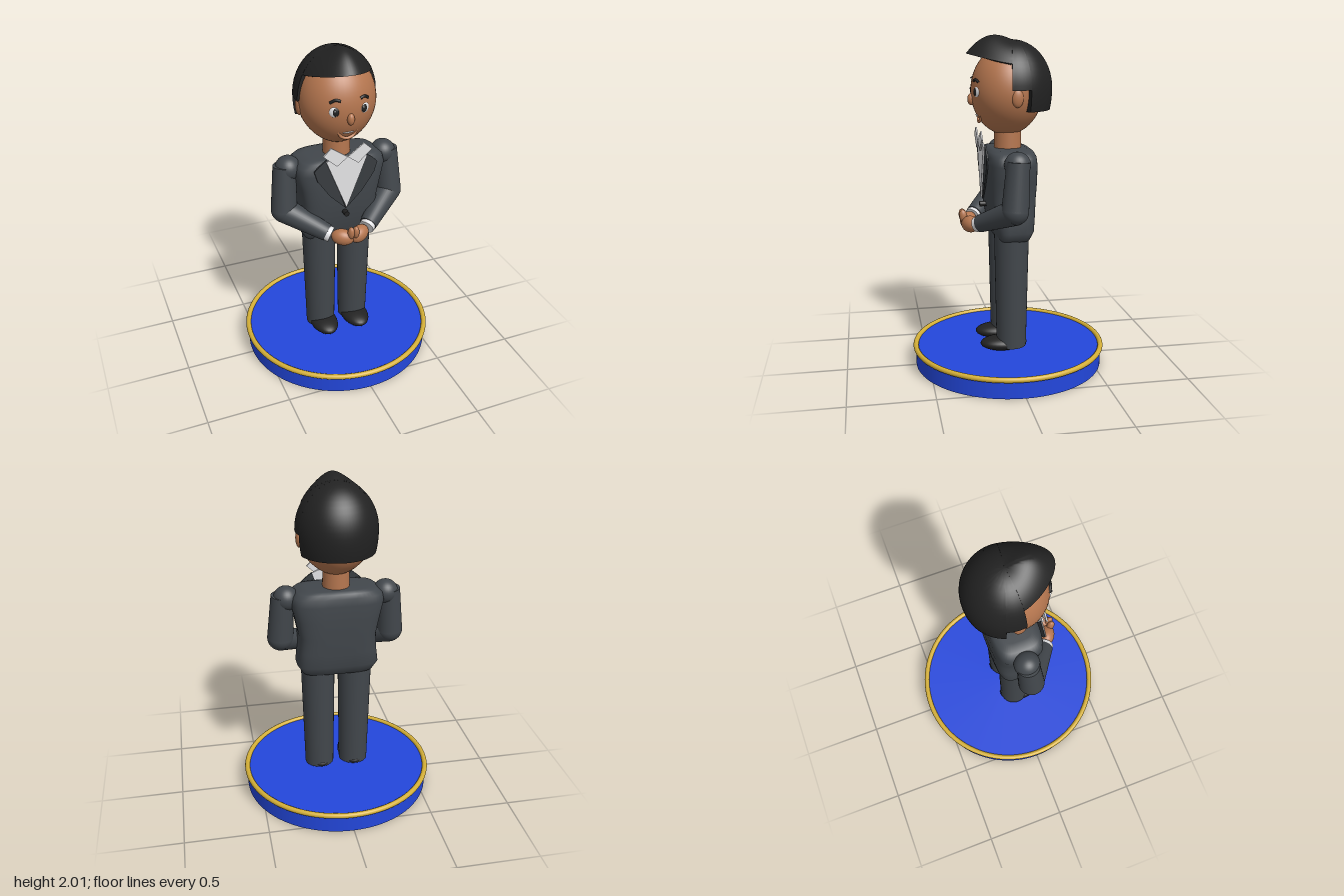
import * as THREE from 'three';
import { toCreasedNormals } from 'three/addons/utils/BufferGeometryUtils.js';

const mat = (name, color) => {
  const m = new THREE.MeshStandardMaterial({ color });
  m.name = name;
  return m;
};
const V = (x, y, z) => new THREE.Vector3(x, y, z);

// Closed-loop skin through rows of points
function skin(rows, crease) {
  const n = rows[0].length, index = [];
  for (let j = 0; j < rows.length - 1; j++) {
    for (let i = 0; i < n; i++) {
      const k = (i + 1) % n;
      const a = j * n + i, b = j * n + k, c = b + n, d = a + n;
      index.push(a, d, b, b, d, c);
    }
  }
  const g = new THREE.BufferGeometry().setFromPoints(rows.flat());
  g.setIndex(index);
  g.computeVertexNormals();
  return crease ? toCreasedNormals(g, crease) : g;
}

// Jacket body: rounded-rectangle sections [y, halfWidth, halfDepth, zCentre]
function torsoGeometry() {
  const sections = [
    [0.8, 0, 0, -0.01], [0.8, 0.17, 0.07, -0.01], [0.815, 0.215, 0.1, -0.01], [0.87, 0.248, 0.122, -0.01],
    [0.96, 0.237, 0.135, -0.005], [1.06, 0.233, 0.145, 0], [1.17, 0.255, 0.15, 0], [1.27, 0.278, 0.148, 0],
    [1.315, 0.268, 0.143, 0], [1.34, 0.235, 0.13, 0], [1.35, 0.18, 0.1, 0], [1.35, 0, 0, 0],
  ];
  const pw = (v) => Math.sign(v) * Math.abs(v) ** 0.5;
  return skin(sections.map(([y, w, d, z]) => Array.from({ length: 48 }, (_, i) => {
    const a = (i / 48) * Math.PI * 2;
    return V(w * pw(Math.cos(a)), y, z + d * pw(Math.sin(a)));
  })));
}

// Hair cap with stepped sides, long back and a swept-forward front
function hairGeometry() {
  const a1 = Math.acos(0.146), a2 = Math.acos(-0.3125);
  const cols = [];
  const span = (from, to, n, limit) => {
    for (let i = 0; i <= n; i++) {
      const a = from + ((to - from) * i) / n;
      cols.push([a, limit(a)]);
    }
  };
  const fringe = (a) => 1.845 + 0.055 * Math.max(0, Math.cos(a)) ** 1.5;
  span(-a1, a1, 28, fringe);
  span(a1, a2, 6, () => 1.7);
  span(a2, Math.PI * 2 - a2, 28, () => 1.575);
  span(Math.PI * 2 - a2, Math.PI * 2 - a1, 6, () => 1.7);
  const rows = [], steps = 16;
  for (let j = 0; j <= steps; j++) {
    const t = j / steps;
    rows.push(cols.map(([a, limit]) => {
      const phi = t * Math.acos((limit - 1.7) / 0.28);
      const s = phi > Math.PI / 2 ? Math.sqrt(Math.sin(phi)) : Math.sin(phi);
      const w = Math.max(0, Math.cos(a)) ** 2;
      return V(0.24 * s * Math.sin(a),
        1.7 + 0.28 * Math.cos(phi) + 0.04 * w * Math.sin(Math.PI * t),
        -0.02 + 0.24 * s * Math.cos(a) + 0.1 * w * t);
    }));
  }
  // rim tucked into the head
  rows.push(rows[steps].map((p) => V(p.x * 0.78, p.y - (p.z > 0.03 ? 0.02 : 0), p.z > 0 ? p.z * 0.6 : p.z * 0.75)));
  return skin(rows, 0.7);
}

export function createModel() {
  const suit = mat('suit charcoal', 0x42474c);
  const lapelGrey = mat('lapel charcoal', 0x383c40);
  const black = mat('black', 0x222222);
  const white = mat('shirt white', 0xe4e4e6);
  const skinTone = mat('skin', 0xb5764f);
  const lip = mat('lip', 0xc08058);
  const blue = mat('base blue', 0x2347dc);
  const gold = mat('gold', 0xd4af37);

  const model = new THREE.Group();
  model.name = 'standingFigure';
  const add = (name, geometry, material, pos = [0, 0, 0]) => {
    const m = new THREE.Mesh(geometry, material);
    m.name = name;
    m.position.set(...pos);
    model.add(m);
    return m;
  };
  const ball = (name, material, pos, r, rot = [0, 0, 0]) => {
    const m = add(name, new THREE.SphereGeometry(1, 32, 20), material, pos);
    m.scale.set(...r);
    m.rotation.set(...rot);
    return m;
  };
  const limb = (name, material, a, b, ra, rb) => {
    const dir = b.clone().sub(a);
    const m = add(name, new THREE.CylinderGeometry(rb, ra, dir.length(), 32), material);
    m.position.copy(a).add(b).multiplyScalar(0.5);
    m.quaternion.setFromUnitVectors(V(0, 1, 0), dir.normalize());
    return m;
  };
  const plate = (name, material, pts, z) => {
    const shape = new THREE.Shape(pts.map(([x, y]) => new THREE.Vector2(x, y)));
    return add(name, new THREE.ExtrudeGeometry(shape, { depth: 0.009, bevelEnabled: false }), material, [0, 0, z]);
  };

  // Round base with gold rim
  add('base', new THREE.CylinderGeometry(0.577, 0.577, 0.115, 96), blue, [0, 0.0575, 0]);
  add('baseRim', new THREE.TorusGeometry(0.577, 0.016, 16, 96).rotateX(Math.PI / 2), gold, [0, 0.115, 0]);

  // Body and neck
  add('jacket', torsoGeometry(), suit);
  add('neck', new THREE.CylinderGeometry(0.078, 0.082, 0.2, 32), skinTone, [0, 1.4, 0.003]);

  // Shirt front and button
  plate('shirtFront', white, [[0, 1.05], [0.125, 1.37], [0.08, 1.39], [-0.08, 1.39], [-0.125, 1.37]], 0.16);
  add('button', new THREE.CylinderGeometry(0.016, 0.016, 0.04, 20).rotateX(Math.PI / 2), black, [0, 1.008, 0.155]);

  for (const s of [1, -1]) {
    const side = s > 0 ? 'left' : 'right';
    const P = (x, y, z) => V(s * x, y, z);

    // Leg and shoe
    limb(side + 'Leg', suit, P(0.11, 0.14, 0), P(0.115, 0.86, 0), 0.09, 0.104);
    ball(side + 'Shoe', black, [s * 0.107, 0.155, 0.047], [0.085, 0.045, 0.143]);

    // Sleeve, cuff and hand
    ball(side + 'Shoulder', suit, [s * 0.3, 1.29, 0], [0.075, 0.075, 0.076]);
    limb(side + 'UpperArm', suit, P(0.322, 1.31, 0), P(0.337, 1.03, 0.02), 0.066, 0.079);
    ball(side + 'Elbow', suit, [s * 0.337, 1.03, 0.02], [0.079, 0.079, 0.079]);
    limb(side + 'Forearm', suit, P(0.337, 1.025, 0.02), P(0.13, 0.918, 0.19), 0.076, 0.052);
    limb(side + 'Cuff', white, P(0.14, 0.922, 0.184), P(0.112, 0.909, 0.206), 0.047, 0.047);
    ball(side + 'Hand', skinTone, [s * 0.053, 0.898, 0.238], [0.068, 0.05, 0.046], [0, s * 0.5, s * 0.15]);
    ball(side + 'Thumb', skinTone, [s * 0.015, 0.938, 0.276], [0.02, 0.042, 0.024], [0.15, 0, 0]);

    // Lapel and collar wing
    plate(side + 'Lapel', lapelGrey,
      [[0, 1.04], [0.12, 1.38], [0.165, 1.345], [0.195, 1.315], [0.175, 1.25], [0.1, 1.14]].map(([x, y]) => [s * x, y]), 0.15);
    plate(side + 'Collar', white,
      [[0, 1.39], [0.065, 1.34], [0.148, 1.415], [0.1, 1.46]].map(([x, y]) => [s * x, y]), 0.173);

    // Ear, eye and brow
    ball(side + 'Ear', skinTone, [s * 0.217, 1.656, -0.016], [0.02, 0.053, 0.034]);
    ball(side + 'Eye', white, [s * 0.09, 1.685, 0.197], [0.029, 0.031, 0.012], [0, s * 0.4, 0]);
    ball(side + 'Pupil', black, [s * 0.085, 1.685, 0.206], [0.019, 0.024, 0.008], [0, s * 0.4, 0]);
    ball(side + 'EyeGlint', white, [s * 0.085 - 0.006, 1.694, 0.213], [0.005, 0.005, 0.003]);
    const brow = new THREE.CatmullRomCurve3([P(0.057, 1.748, 0.211), P(0.083, 1.755, 0.204), P(0.112, 1.738, 0.188)]);
    add(side + 'Brow', new THREE.TubeGeometry(brow, 12, 0.008, 8), black);
  }

  // Head: ellipsoid narrowing to the chin
  const head = new THREE.SphereGeometry(1, 48, 32);
  const p = head.attributes.position;
  for (let i = 0; i < p.count; i++) {
    const y = p.getY(i), taper = y < 0 ? 1 - 0.12 * y * y : 1;
    p.setXYZ(i, p.getX(i) * 0.226 * taper, y * 0.26, p.getZ(i) * 0.213);
  }
  head.computeVertexNormals();
  add('head', head, skinTone, [0, 1.685, 0.008]);
  add('hair', hairGeometry(), black);

  // Nose and smile
  ball('nose', skinTone, [0, 1.637, 0.22], [0.021, 0.035, 0.022]);
  const smile = new THREE.CatmullRomCurve3([
    V(-0.056, 1.55, 0.172), V(-0.038, 1.518, 0.172), V(0, 1.505, 0.175), V(0.038, 1.518, 0.172), V(0.056, 1.55, 0.172)]);
  add('smile', new THREE.TubeGeometry(smile, 32, 0.009, 10), lip);
  ball('teeth', white, [0, 1.545, 0.185], [0.034, 0.006, 0.008]);

  return model;
}
